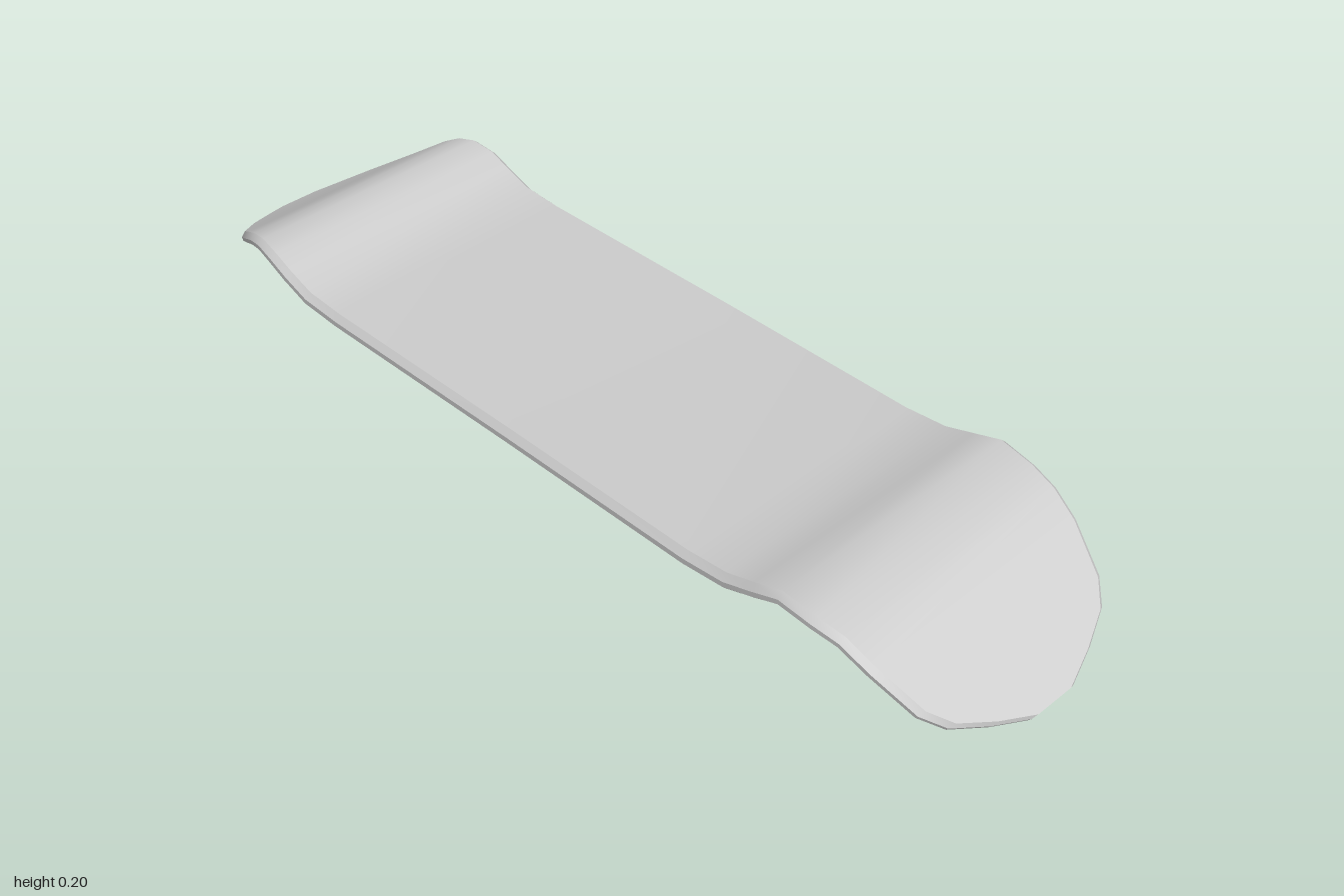
import * as THREE from 'three';
import { toCreasedNormals } from 'three/addons/utils/BufferGeometryUtils.js';

// Stations along the deck: [x, top height, half width, thickness]
const STATIONS = [
  [-1.0, 0.054, 0.055, 0.017],
  [-0.98, 0.065, 0.105, 0.018],
  [-0.945, 0.086, 0.165, 0.02],
  [-0.88, 0.126, 0.23, 0.022],
  [-0.81, 0.173, 0.265, 0.025],
  [-0.775, 0.191, 0.275, 0.026],
  [-0.735, 0.2, 0.282, 0.027],
  [-0.685, 0.192, 0.288, 0.028],
  [-0.64, 0.174, 0.289, 0.029],
  [-0.58, 0.153, 0.289, 0.03],
  [-0.49, 0.148, 0.289, 0.03],
  [0, 0.15, 0.289, 0.03],
  [0.44, 0.148, 0.289, 0.03],
  [0.53, 0.156, 0.289, 0.03],
  [0.59, 0.175, 0.289, 0.028],
  [0.65, 0.195, 0.288, 0.027],
  [0.72, 0.184, 0.284, 0.026],
  [0.775, 0.171, 0.275, 0.025],
  [0.83, 0.139, 0.265, 0.024],
  [0.91, 0.081, 0.235, 0.022],
  [0.945, 0.055, 0.2, 0.02],
  [0.975, 0.032, 0.13, 0.018],
  [1.0, 0.013, 0.055, 0.0165],
];

// Half cross-section: [inset from the edge, depth as a share of thickness]
const EDGE = [[0.012, 0], [0, 0.4], [0, 0.75], [0.008, 1]];

function deckGeometry() {
  const section = [
    ...EDGE.map(([inset, depth]) => [1, inset, depth]),
    ...EDGE.slice().reverse().map(([inset, depth]) => [-1, inset, depth]),
  ];
  const n = section.length;
  const last = STATIONS.length - 1;
  const positions = [];
  const index = [];

  STATIONS.forEach(([x, y, halfWidth, thickness], i) => {
    // Thickness is measured square to the curve of the deck
    const before = STATIONS[Math.max(i - 1, 0)];
    const after = STATIONS[Math.min(i + 1, last)];
    const along = new THREE.Vector2(after[0] - before[0], after[1] - before[1]).normalize();
    for (const [side, inset, depth] of section) {
      const d = depth * thickness;
      positions.push(x + along.y * d, y - along.x * d, side * (halfWidth - inset));
    }
    if (i === last) return;
    for (let j = 0; j < n; j++) {
      const k = (j + 1) % n;
      const a = i * n + j, b = i * n + k, c = b + n, e = a + n;
      index.push(a, b, c, a, c, e);
    }
  });

  // Close the two tips
  for (let j = 1; j < n - 1; j++) {
    index.push(0, j + 1, j);
    index.push(last * n, last * n + j, last * n + j + 1);
  }

  const geometry = new THREE.BufferGeometry();
  geometry.setAttribute('position', new THREE.Float32BufferAttribute(positions, 3));
  geometry.setIndex(index);
  return toCreasedNormals(geometry, 0.55);
}

export function createModel() {
  const group = new THREE.Group();
  group.name = 'skateboardDeck';
  const deck = new THREE.Mesh(deckGeometry(), new THREE.MeshStandardMaterial({ color: 0xcccccc }));
  deck.name = 'deck';
  group.add(deck);
  return group;
}
